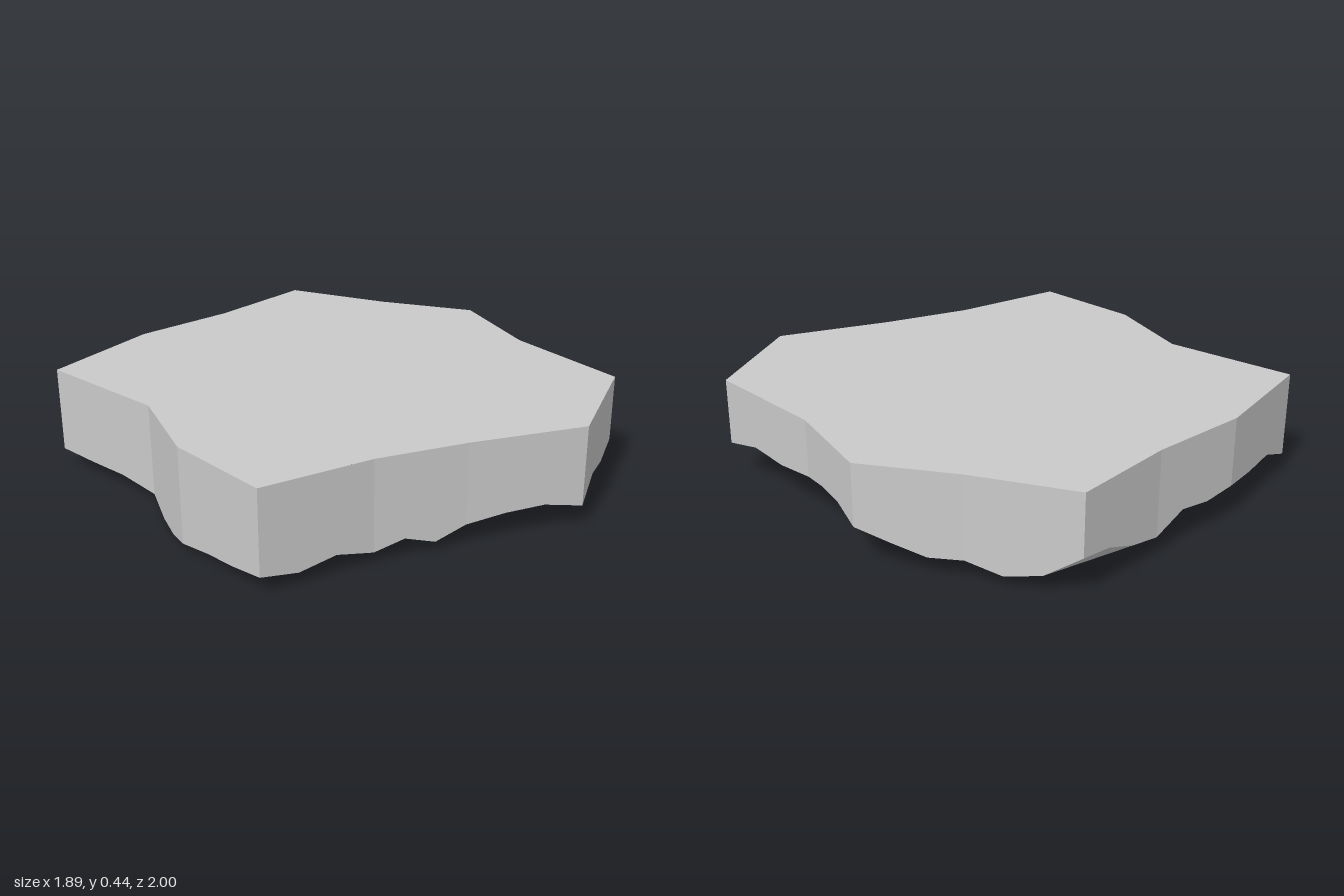
import * as THREE from 'three';

const TOP = 0.445;

// Plan outline (x, z)
const OUTLINE = [
  [-0.735, -0.977], [-0.23, -1.0], [0.18, -0.91], [0.62, -0.87], [0.77, -0.45], [0.945, -0.07], [0.785, 0.31],
  [0.705, 0.835], [0.23, 1.0], [-0.18, 0.735], [-0.51, 0.55], [-0.95, 0.38], [-0.905, -0.07], [-0.73, -0.42],
];

// Ragged height of the lower edge: three points per outline side
const RIM = [
  0.08, 0.145, 0.14, 0.15, 0.13, 0.145, 0.075, 0.105, 0.16, 0.18, 0.08, 0.05, 0.09, 0.085,
  0.13, 0.18, 0.22, 0.22, 0.2, 0.185, 0.2, 0.16, 0.135, 0.16, 0.1, 0.13, 0.12, 0.095,
  0.045, 0.085, 0.05, 0.085, 0.055, 0.08, 0.06, 0.05, 0.03, 0.0, 0.005, 0.05, 0.075, 0.075,
];

// Rim points that carry the broad flats of the underside, fanned from the first
const CORE = [10, 18, 28, 29, 30, 38, 6];

// Flat-shaded mesh from a list of corner points, three per face
function facetMesh(name, points, material) {
  const geometry = new THREE.BufferGeometry().setFromPoints(points);
  geometry.computeVertexNormals();
  const mesh = new THREE.Mesh(geometry, material);
  mesh.name = name;
  return mesh;
}

// Fill a loop of 3D points; the plan position decides the triangles
function fill(loop, plan, up) {
  const out = [];
  for (const [a, b, c] of THREE.ShapeUtils.triangulateShape(plan, [])) {
    const area = THREE.ShapeUtils.area([plan[a], plan[b], plan[c]]);
    const order = (area < 0) === up ? [a, b, c] : [a, c, b];
    out.push(...order.map((i) => loop[i]));
  }
  return out;
}

export function createModel() {
  const group = new THREE.Group();
  group.name = 'rockSlab';
  const stone = new THREE.MeshStandardMaterial({ color: 0xcacaca });
  stone.name = 'grey stone';
  stone.flatShading = true;

  // Lower rim, and its plan with mid points nudged in so that notches stay open
  const rim = [];
  const plan = [];
  RIM.forEach((y, i) => {
    const side = Math.floor(i / 3);
    const [x0, z0] = OUTLINE[side];
    const [x1, z1] = OUTLINE[(side + 1) % OUTLINE.length];
    const t = (i % 3) / 3;
    const x = x0 + (x1 - x0) * t;
    const z = z0 + (z1 - z0) * t;
    const nudge = i % 3 ? 0.004 : 0;
    rim.push(new THREE.Vector3(x, y, z));
    plan.push(new THREE.Vector2(x - (z1 - z0) * nudge, z + (x1 - x0) * nudge));
  });
  const n = rim.length;

  // Flat top
  const corners = OUTLINE.map(([x, z]) => new THREE.Vector3(x, TOP, z));
  const cornerPlan = OUTLINE.map(([x, z]) => new THREE.Vector2(x, z));
  group.add(facetMesh('topFace', fill(corners, cornerPlan, true), stone));

  // Upright sides
  const upper = rim.map((p) => new THREE.Vector3(p.x, TOP, p.z));
  const walls = [];
  for (let i = 0; i < n; i++) {
    const j = (i + 1) % n;
    walls.push(upper[i], upper[j], rim[j], upper[i], rim[j], rim[i]);
  }
  group.add(facetMesh('sideWalls', walls, stone));

  // Broad flats of the underside
  const flats = [];
  for (let k = 1; k < CORE.length - 1; k++) {
    flats.push(rim[CORE[0]], rim[CORE[k]], rim[CORE[k + 1]]);
  }
  group.add(facetMesh('undersideFlats', flats, stone));

  // Chipped borders between the flats and the rim
  const chips = [];
  CORE.forEach((start, k) => {
    const end = CORE[(k + 1) % CORE.length];
    const ids = [start];
    for (let i = start; i !== end; ids.push(i)) i = (i + 1) % n;
    if (ids.length > 2) chips.push(...fill(ids.map((i) => rim[i]), ids.map((i) => plan[i]), false));
  });
  group.add(facetMesh('undersideChips', chips, stone));

  return group;
}
